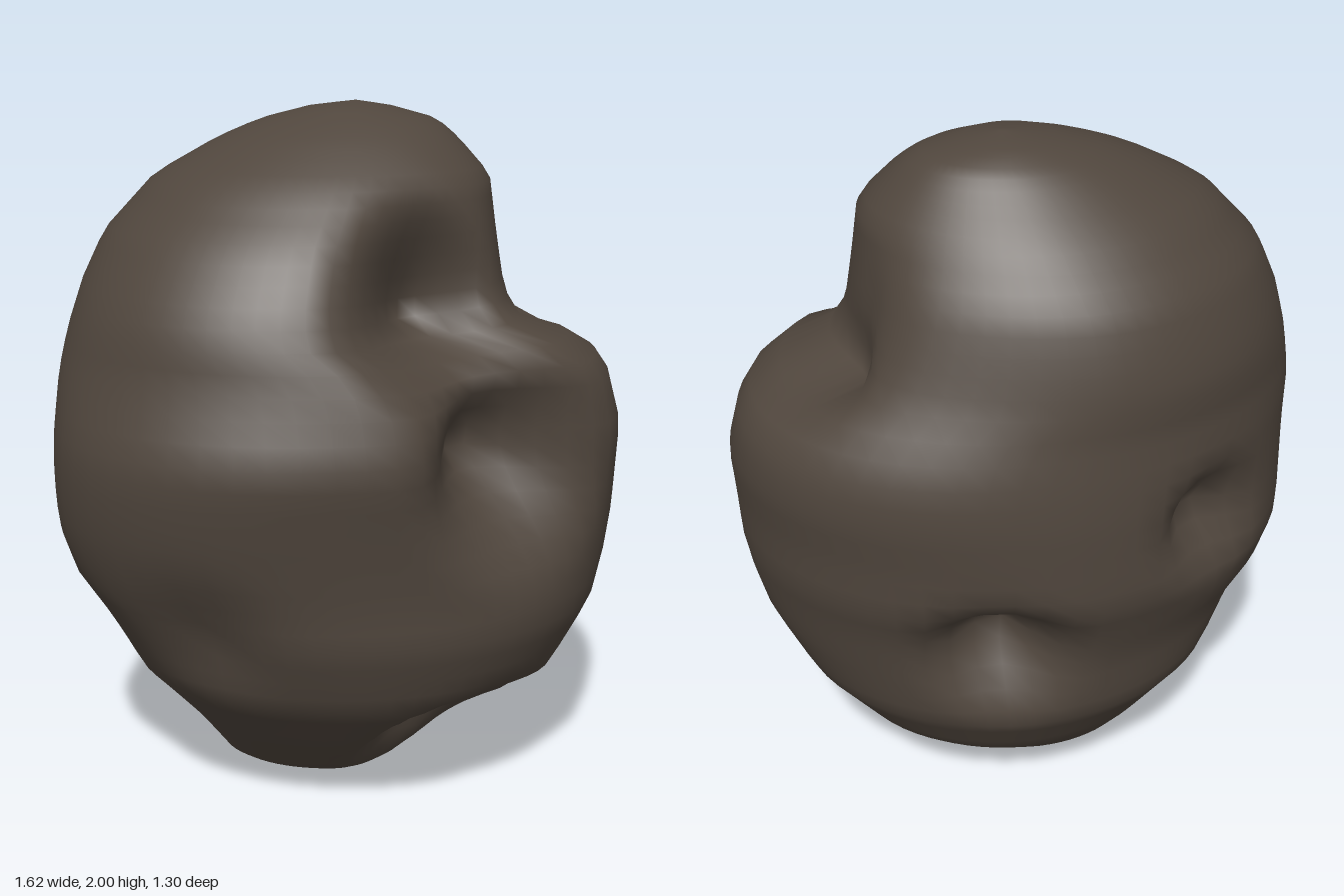
import * as THREE from 'three';
import { mergeVertices } from 'three/addons/utils/BufferGeometryUtils.js';

const { clamp, lerp, smoothstep } = THREE.MathUtils;

// Body outline: y, xMin, xMax, zMin, zMax
const SECTIONS = [
  [0, 0, 0, -0.03, -0.03],
  [0.012, -0.2, 0.15, -0.17, 0.07],
  [0.05, -0.36, 0.24, -0.26, 0.16],
  [0.2, -0.46, 0.48, -0.42, 0.34],
  [0.39, -0.62, 0.64, -0.54, 0.5],
  [0.58, -0.7, 0.74, -0.56, 0.57],
  [0.7, -0.77, 0.77, -0.59, 0.58],
  [0.83, -0.8, 0.79, -0.64, 0.6],
  [1.1, -0.8, 0.80, -0.64, 0.65],
  [1.25, -0.8, 0.76, -0.62, 0.61],
  [1.33, -0.79, 0.70, -0.60, 0.59],
  [1.42, -0.77, 0.48, -0.59, 0.57],
  [1.52, -0.74, 0.45, -0.57, 0.53],
  [1.65, -0.68, 0.43, -0.53, 0.45],
  [1.8, -0.54, 0.41, -0.42, 0.31],
  [1.9, -0.36, 0.32, -0.32, 0.17],
  [1.95, -0.24, 0.26, -0.27, 0.08],
  [1.985, -0.1, 0.13, -0.2, 0],
  [2, 0.03, 0.03, -0.1, -0.1],
];

// Hollows: centre, radius, push direction and depth
const DENTS = [
  { at: [0.28, 1.47, 0.4], r: 0.36, push: [-0.11, -0.05, -0.27] },   // upper front shelf
  { at: [0.28, 1.68, 0.36], r: 0.3, push: [-0.02, 0, -0.06] },       // slope above the shelf
  { at: [0.53, 1.08, 0.43], r: 0.41, push: [-0.24, 0.02, -0.22] },   // deep front pit
  { at: [0.45, 1.33, -0.2], r: 0.24, push: [-0.1, -0.05, 0] },       // side valley
  { at: [0.32, 0.17, 0.18], r: 0.36, push: [-0.12, 0.16, -0.12] },   // underside hollow
  { at: [-0.49, 0.99, -0.48], r: 0.23, push: [0.1, 0.02, 0.1] },     // back pit
  { at: [0.11, 0.65, -0.58], r: 0.28, push: [0, 0.05, 0.18] },       // lower back hollow
  { at: [-0.36, 0.6, 0.52], r: 0.28, push: [0.02, 0, -0.05] },       // shallow front dip
].map(d => ({ at: new THREE.Vector3(...d.at), r: d.r, push: new THREE.Vector3(...d.push) }));

// Outline interpolated at a height
function sectionAt(y) {
  let i = 1;
  while (i < SECTIONS.length - 1 && SECTIONS[i][0] < y) i++;
  const a = SECTIONS[i - 1], b = SECTIONS[i];
  const t = clamp((y - a[0]) / (b[0] - a[0]), 0, 1);
  return a.map((v, k) => lerp(v, b[k], t));
}

const hump = (y, mid, width) => Math.exp(-(((y - mid) / width) ** 2));

// Bulge or flattening of each corner of the cross-section
function cornerScale(y, c, s) {
  const amount = c < 0
    ? (s > 0 ? 0.12 * hump(y, 0.95, 0.42) : -0.02)
    : (s > 0 ? -0.07 * hump(y, 0.95, 0.5) : 0.06 * hump(y, 1.22, 0.2));
  return 1 + amount * Math.abs(2 * c * s);
}

// Place a unit-sphere point on the rock surface
function shape(p) {
  const y = p.y + 1;
  const [, x0, x1, z0, z1] = sectionAt(y);
  const len = Math.hypot(p.x, p.z) || 1;
  const c = p.x / len, s = p.z / len;

  // The notch under the top fades out toward the back
  const filled = y > 1.25 && y < 1.8 ? Math.max(x1, 0.76 - (y - 1.25) * 0.64) : x1;
  const right = lerp(x1, filled, smoothstep(-s, 0.35, 0.85));

  const k = cornerScale(y, c, s);
  const cx = (x0 + x1) / 2, cz = (z0 + z1) / 2;
  p.set(cx + c * k * (c > 0 ? right - cx : cx - x0), y, cz + s * k * (z1 - z0) / 2);
  const start = p.clone();
  for (const d of DENTS) {
    const t = start.distanceTo(d.at) / d.r;
    if (t < 1) p.addScaledVector(d.push, (1 - t) * (1 - t) * (1 + t));
  }
}

export function createModel() {
  const group = new THREE.Group();
  group.name = 'asteroid';

  // Sphere moulded into the pitted rock, welded for smooth normals
  let geometry = new THREE.SphereGeometry(1, 60, 52);
  const pos = geometry.attributes.position;
  const p = new THREE.Vector3();
  for (let i = 0; i < pos.count; i++) {
    p.fromBufferAttribute(pos, i);
    shape(p);
    pos.setXYZ(i, p.x, p.y, p.z);
  }
  geometry.deleteAttribute('uv');
  geometry.deleteAttribute('normal');
  geometry = mergeVertices(geometry, 1e-4);
  geometry.computeVertexNormals();

  const rock = new THREE.Mesh(geometry, new THREE.MeshStandardMaterial({ color: 0x50463d }));
  rock.name = 'rockBody';
  group.add(rock);
  return group;
}
